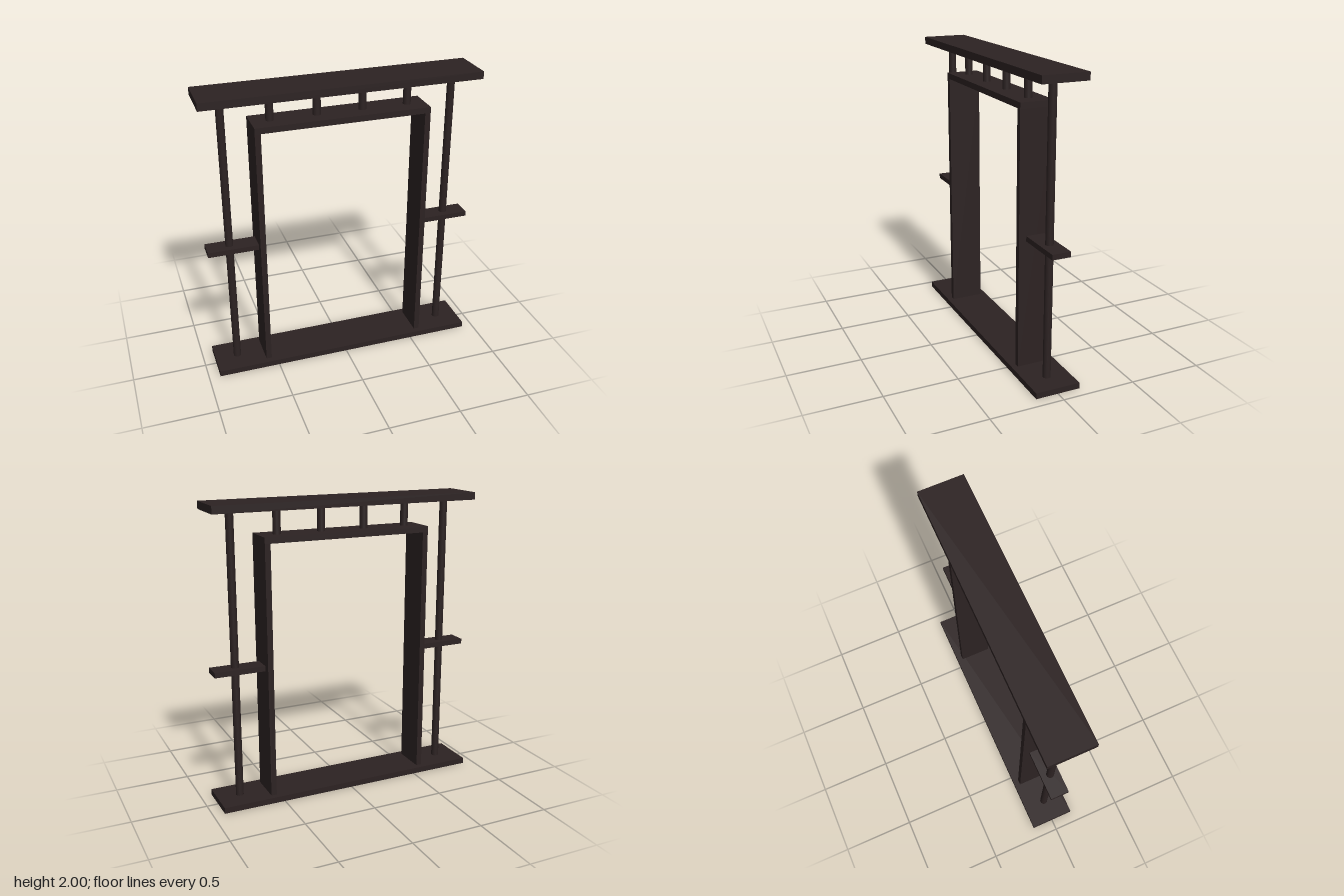
import * as THREE from 'three';

export function createModel() {
  const model = new THREE.Group();
  const darkWood = new THREE.MeshStandardMaterial({ color: 0x2c2222 });
  darkWood.name = 'darkWood';

  const add = (name, geometry, x, y) => {
    const mesh = new THREE.Mesh(geometry, darkWood);
    mesh.name = name;
    mesh.position.set(x, y, 0);
    model.add(mesh);
  };
  // Board given by its x and y extents and its depth
  const board = (name, x0, x1, y0, y1, depth) =>
    add(name, new THREE.BoxGeometry(x1 - x0, y1 - y0, depth), (x0 + x1) / 2, (y0 + y1) / 2);
  // Round upright between two heights
  const post = (name, x, y0, y1) =>
    add(name, new THREE.CylinderGeometry(0.026, 0.026, y1 - y0, 20), x, (y0 + y1) / 2);

  // Base and top slabs
  board('base', -0.923, 0.923, 0, 0.04, 0.305);
  board('topSlab', -0.923, 0.923, 1.95, 2, 0.305);

  // Doorway lintel
  board('lintel', -0.583, 0.583, 1.745, 1.785, 0.226);

  for (const [side, s] of [['left', 1], ['right', -1]]) {
    // Doorway jamb
    const jamb = [s * 0.545, s * 0.583].sort((a, b) => a - b);
    board(side + 'Jamb', jamb[0], jamb[1], 0.04, 1.745, 0.226);
    // Side shelf
    const shelf = [s * 0.583, s * 0.923].sort((a, b) => a - b);
    board(side + 'Shelf', shelf[0], shelf[1], 0.907, 0.942, 0.126);
    // Tall outer post, passing through the shelf
    post(side + 'Post', s * 0.769, 0.04, 1.95);
    // Short posts between lintel and top slab
    post(side + 'InnerStrut', s * 0.153, 1.785, 1.95);
    post(side + 'OuterStrut', s * 0.46, 1.785, 1.95);
  }
  return model;
}
